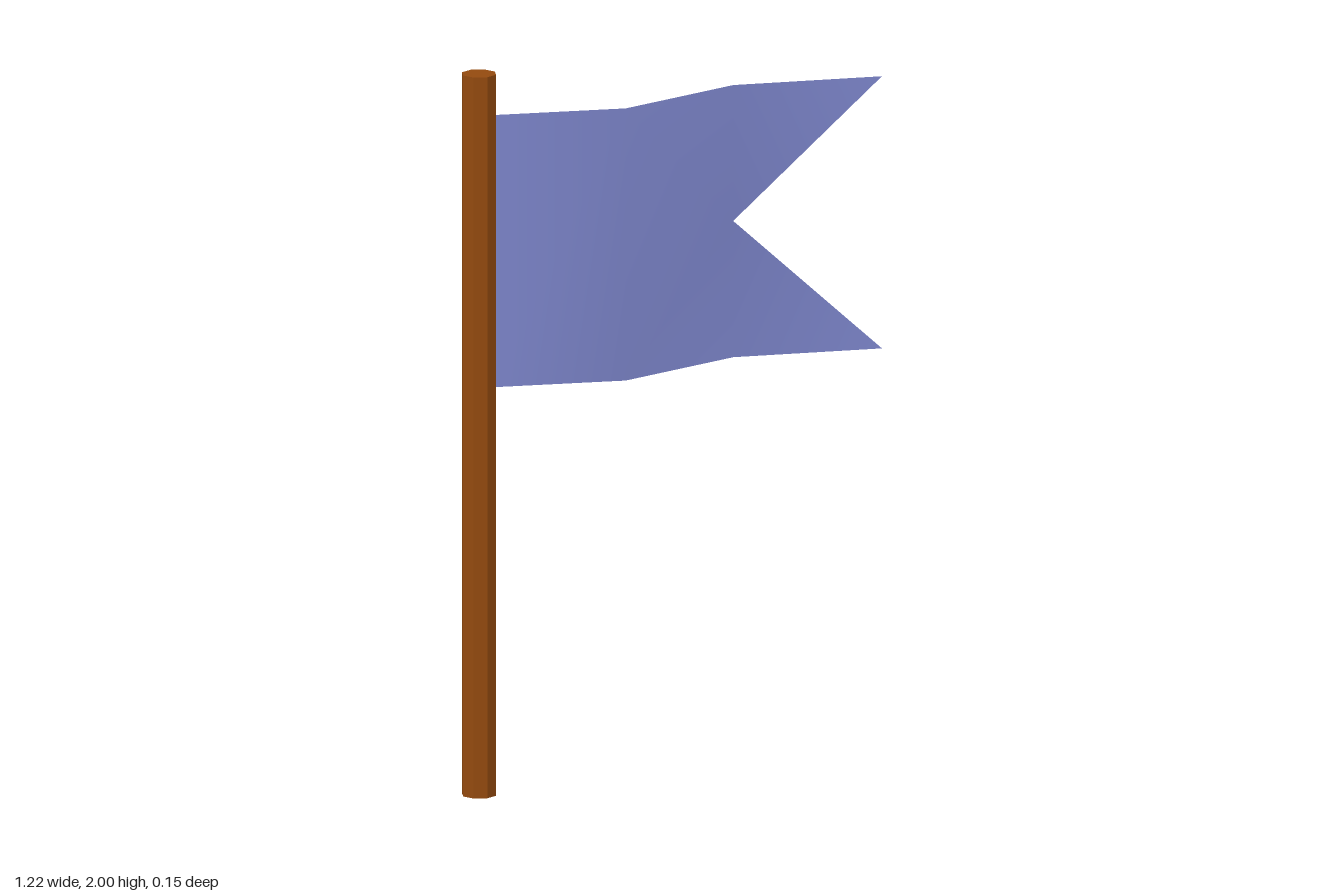
import * as THREE from 'three';

const POLE_RADIUS = 0.048;
const POLE_X = -0.564;
const POLE_Z = -0.026;

// Swallow-tailed cloth, folded in a zigzag along its length
function createFlagGeometry() {
  const bottom = 1.125, middle = 1.503, top = 1.88;
  const folds = [[-0.517, -0.024], [-0.17, 0.074], [0.208, -0.024], [0.609, 0.074]];

  // Two vertices per fold, bottom then top, plus the point of the notch
  const points = folds.flatMap(([x, z]) => [x, bottom, z, x, top, z]);
  points.push(folds[2][0], middle, folds[2][1]);

  const faces = [
    0, 2, 3, 0, 3, 1, // strip beside the pole
    2, 4, 8, 2, 8, 3, 3, 8, 5, // middle strip up to the notch
    4, 6, 8, 8, 7, 5, // two tails
  ];
  const geometry = new THREE.BufferGeometry();
  geometry.setAttribute('position', new THREE.Float32BufferAttribute(points, 3));
  geometry.setIndex(faces);
  geometry.computeVertexNormals();
  return geometry;
}

export function createModel() {
  const wood = new THREE.MeshStandardMaterial({ color: 0x934a0f, flatShading: true });
  wood.name = 'brown wood';
  const cloth = new THREE.MeshStandardMaterial({ color: 0x7f88cf, side: THREE.DoubleSide });
  cloth.name = 'periwinkle cloth';

  const model = new THREE.Group();
  model.name = 'flag on pole';

  // Octagonal pole
  const pole = new THREE.Mesh(new THREE.CylinderGeometry(POLE_RADIUS, POLE_RADIUS, 2, 8), wood);
  pole.name = 'pole';
  pole.position.set(POLE_X, 1, POLE_Z);

  const flag = new THREE.Mesh(createFlagGeometry(), cloth);
  flag.name = 'flag';

  model.add(pole, flag);
  return model;
}
